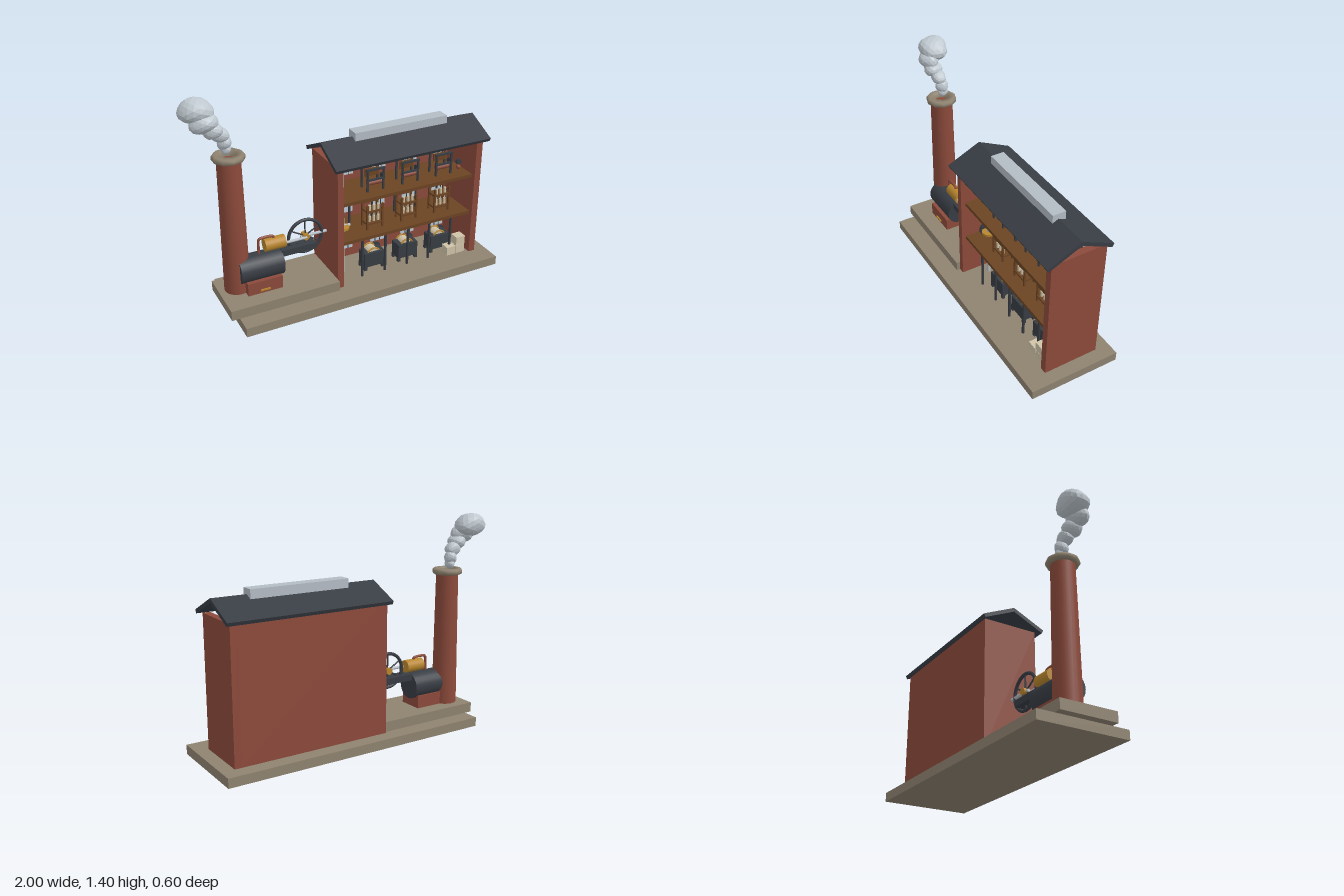
import * as THREE from 'three';

const mat = (name, color) => {
  const m = new THREE.MeshStandardMaterial({ color });
  m.name = name;
  return m;
};

export function createModel() {
  const brick = mat('brick', 0x8c4a3b), stone = mat('stone', 0x8f8370), iron = mat('iron', 0x383d44),
    steel = mat('steel', 0xb4bcc4), brass = mat('brass', 0xb8862e), wood = mat('wood', 0x6b4423),
    cream = mat('cream', 0xd0c4a8), glass = mat('glass', 0xbcc8d2), smokeGrey = mat('smoke', 0xc0c9d0);
  const model = new THREE.Group();
  model.name = 'steamMill';

  const group = (name, parent = model) => {
    const g = new THREE.Group();
    g.name = name;
    parent.add(g);
    return g;
  };
  const add = (name, geo, m, x = 0, y = 0, z = 0, parent = model) => {
    const mesh = new THREE.Mesh(geo, m);
    mesh.name = name;
    mesh.position.set(x, y, z);
    parent.add(mesh);
    return mesh;
  };
  // box given by its limits
  const box = (name, m, x0, x1, y0, y1, z0, z1, parent) =>
    add(name, new THREE.BoxGeometry(x1 - x0, y1 - y0, z1 - z0), m, (x0 + x1) / 2, (y0 + y1) / 2, (z0 + z1) / 2, parent);
  // cylinder along a chosen axis
  const rod = (name, m, axis, r, len, x, y, z, parent, sides = 12) => {
    const g = new THREE.CylinderGeometry(r, r, len, sides);
    if (axis === 'x') g.rotateZ(Math.PI / 2);
    if (axis === 'z') g.rotateX(Math.PI / 2);
    return add(name, g, m, x, y, z, parent);
  };

  // ground slabs
  box('base', stone, -0.81, 1, 0, 0.06, -0.3, 0.3);
  box('enginePlinth', stone, -0.86, -0.135, 0.06, 0.125, -0.19, 0.185);

  // building shell, open at the front
  const mill = group('millBuilding');
  box('leftWall', brick, -0.135, -0.095, 0.06, 0.9, -0.205, 0.16, mill);
  box('rightWall', brick, 0.87, 0.915, 0.06, 0.9, -0.205, 0.16, mill);
  box('backWall', brick, -0.095, 0.87, 0.06, 0.9, -0.205, -0.17, mill);
  for (const y of [0.345, 0.62]) box('floor', wood, -0.095, 0.87, y, y + 0.022, -0.17, 0.13, mill);

  // pitched roof with open gables
  const profile = new THREE.Shape([
    [0.195, 0.892], [0.206, 0.914], [-0.012, 1.015], [-0.23, 0.914], [-0.219, 0.892], [-0.012, 0.988],
  ].map(([z, y]) => new THREE.Vector2(z, y)));
  const roof = new THREE.ExtrudeGeometry(profile, { depth: 1.105, bevelEnabled: false });
  roof.rotateY(-Math.PI / 2);
  add('roof', roof, iron, 0.94, 0, 0, mill);
  box('skylight', steel, 0.052, 0.715, 0.985, 1.05, -0.06, 0.027, mill);

  // arched windows on the inner back wall
  const pane = new THREE.Shape();
  pane.moveTo(-0.052, 0);
  pane.lineTo(0.052, 0);
  pane.lineTo(0.052, 0.17);
  pane.quadraticCurveTo(0.04, 0.208, 0, 0.21);
  pane.quadraticCurveTo(-0.04, 0.208, -0.052, 0.17);
  const paneGeo = new THREE.ExtrudeGeometry(pane, { depth: 0.008, bevelEnabled: false, curveSegments: 6 });
  for (const y of [0.125, 0.405, 0.682]) for (const x of [0.08, 0.325, 0.565, 0.805]) {
    const w = group('window', mill);
    add('pane', paneGeo, glass, x, y, -0.17, w);
    for (const dx of [-0.018, 0.018]) box('mullion', iron, x + dx - 0.002, x + dx + 0.002, y, y + 0.2, -0.162, -0.158, w);
    for (const dy of [0.05, 0.1, 0.15]) box('glazingBar', iron, x - 0.052, x + 0.052, y + dy - 0.002, y + dy + 0.002, -0.162, -0.158, w);
  }

  // iron columns on the two lower storeys
  for (const x of [0.07, 0.24, 0.41, 0.575, 0.745]) {
    rod('column', iron, 'y', 0.009, 0.285, x, 0.2025, 0.1, mill);
    rod('upperColumn', iron, 'y', 0.007, 0.253, x, 0.4935, -0.09, mill);
  }

  // line shafting
  const drive = group('lineShafting');
  rod('uprightShaft', steel, 'y', 0.012, 0.81, -0.025, 0.465, 0, drive);
  for (const y of [0.325, 0.6, 0.865]) {
    rod('lineShaft', steel, 'x', 0.006, 0.9, 0.38, y, -0.08, drive);
    rod('crossShaft', steel, 'z', 0.006, 0.09, -0.025, y, -0.04, drive);
    rod('shaftDisc', iron, 'x', 0.038, 0.012, 0.005, y, -0.08, drive, 16);
    rod('bevelGear', brass, 'y', 0.022, 0.012, -0.025, y - 0.02, 0, drive);
    for (const x of [0.185, 0.44, 0.695]) rod('pulley', iron, 'z', 0.029, 0.03, x, y, -0.06, drive, 16);
  }
  rod('driveShaft', steel, 'x', 0.01, 0.35, -0.14, 0.4, -0.012, drive);
  rod('driveWheel', iron, 'x', 0.055, 0.014, -0.065, 0.4, -0.012, drive, 20);
  rod('driveGear', brass, 'y', 0.045, 0.015, -0.025, 0.4, 0, drive, 16);

  for (const x of [0.185, 0.44, 0.695]) {
    // carding machine, ground storey
    const card = group('cardingMachine');
    box('casing', iron, x - 0.073, x + 0.073, 0.085, 0.185, -0.03, 0.06, card);
    for (const dx of [-0.065, 0.065]) for (const z of [-0.02, 0.05])
      box('foot', iron, x + dx - 0.01, x + dx + 0.01, 0.06, 0.09, z - 0.01, z + 0.01, card);
    rod('drum', cream, 'z', 0.042, 0.07, x, 0.165, 0.005, card, 20);
    for (const z of [-0.03, 0.042]) add('drumRim', new THREE.TorusGeometry(0.045, 0.006, 6, 24), brass, x, 0.165, z, card);
    rod('sideWheel', iron, 'z', 0.03, 0.012, x + 0.062, 0.168, -0.04, card, 16);

    // spinning frame, middle storey
    const spin = group('spinningFrame');
    for (const dx of [-0.055, 0.055]) for (const z of [-0.02, 0.05])
      box('post', wood, x + dx - 0.006, x + dx + 0.006, 0.367, 0.54, z - 0.006, z + 0.006, spin);
    for (const y of [0.4, 0.485]) box('shelf', wood, x - 0.06, x + 0.06, y, y + 0.012, -0.025, 0.055, spin);
    box('topRail', wood, x - 0.06, x + 0.06, 0.53, 0.54, -0.025, -0.01, spin);
    for (const dx of [-0.032, 0, 0.032]) {
      rod('spindle', steel, 'y', 0.004, 0.12, x + dx, 0.465, 0.035, spin, 8);
      for (const y of [0.435, 0.515]) rod('bobbin', cream, 'y', 0.009, 0.04, x + dx, y, 0.035, spin, 10);
    }

    // loom, top storey
    const loom = group('loom');
    for (const dx of [-0.057, 0.057]) for (const z of [-0.03, 0.05])
      box('leg', iron, x + dx - 0.006, x + dx + 0.006, 0.642, 0.79, z - 0.006, z + 0.006, loom);
    for (const z of [-0.03, 0.05]) box('crossBar', iron, x - 0.066, x + 0.066, 0.785, 0.797, z - 0.007, z + 0.007, loom);
    box('lowBar', iron, x - 0.057, x + 0.057, 0.715, 0.726, 0.043, 0.056, loom);
    box('reed', wood, x - 0.05, x + 0.05, 0.728, 0.78, -0.005, 0.005, loom);
    rod('clothRoll', brick, 'x', 0.018, 0.1, x, 0.695, 0.03, loom);
    rod('handWheel', iron, 'x', 0.025, 0.008, x + 0.07, 0.71, 0.01, loom, 16);
  }
  rod('spareWheel', iron, 'z', 0.019, 0.02, 0.812, 0.712, 0.05);
  add('yarnBall', new THREE.SphereGeometry(0.016, 12, 8), brick, 0.812, 0.675, 0.05);

  // cotton bales
  for (const [x, y] of [[0.738, 0.06], [0.81, 0.06], [0.81, 0.122]])
    box('bale', cream, x - 0.034, x + 0.034, y, y + 0.06, 0.075, 0.14);

  // boiler on its brick firebox
  const boiler = group('boiler');
  box('firebox', brick, -0.71, -0.48, 0.125, 0.21, -0.09, 0.078, boiler);
  box('fireDoorHandle', brass, -0.63, -0.565, 0.142, 0.152, 0.078, 0.086, boiler);
  rod('shell', iron, 'x', 0.088, 0.284, -0.598, 0.27, -0.015, boiler, 24);
  const pipePath = new THREE.CatmullRomCurve3([[-0.597, 0.34], [-0.597, 0.43], [-0.592, 0.455], [-0.57, 0.46],
    [-0.52, 0.46], [-0.5, 0.455], [-0.495, 0.43]].map(([x, y]) => new THREE.Vector3(x, y, -0.01)));
  add('steamPipe', new THREE.TubeGeometry(pipePath, 30, 0.009, 8), brick, 0, 0, 0, boiler);

  // steam engine and flywheel
  const engine = group('steamEngine');
  box('bed', iron, -0.46, -0.225, 0.315, 0.357, -0.05, 0.032, engine);
  rod('cylinder', brass, 'x', 0.042, 0.135, -0.493, 0.405, -0.01, engine, 20);
  rod('pistonRod', steel, 'x', 0.009, 0.15, -0.355, 0.4, 0.012, engine);
  const wheel = group('flywheel', engine);
  wheel.position.set(-0.282, 0.4, -0.012);
  add('rim', new THREE.TorusGeometry(0.114, 0.011, 8, 36), iron, 0, 0, 0, wheel);
  rod('hub', brass, 'z', 0.022, 0.05, 0, 0, 0, wheel, 16);
  for (let i = 0; i < 3; i++) rod('spoke', iron, 'y', 0.005, 0.226, 0, 0, 0, wheel, 8).rotation.z = i * Math.PI / 3;

  // chimney with a stone collar
  add('chimneyStack', new THREE.CylinderGeometry(0.073, 0.083, 0.885, 24), brick, -0.737, 0.5675, -0.047);
  const collar = new THREE.LatheGeometry([[0.05, 1.005], [0.085, 1.005], [0.1, 1.015], [0.1, 1.035], [0.088, 1.046],
    [0.05, 1.046], [0.05, 1.005]].map(([r, y]) => new THREE.Vector2(r, y)), 10);
  add('chimneyCollar', collar, stone, -0.737, 0, -0.047);

  // lumpy smoke puffs: position, then half sizes
  const smoke = group('smoke');
  [[-0.745, 1.075, -0.062, 0.03, 0.035, 0.035], [-0.75, 1.115, -0.06, 0.042, 0.045, 0.045],
    [-0.775, 1.17, -0.05, 0.055, 0.045, 0.045], [-0.825, 1.215, -0.035, 0.06, 0.05, 0.06],
    [-0.87, 1.265, -0.028, 0.085, 0.06, 0.065], [-0.895, 1.325, -0.075, 0.105, 0.075, 0.09],
  ].forEach(([x, y, z, a, b, c], k) => {
    const g = new THREE.IcosahedronGeometry(1, 2), p = g.attributes.position;
    for (let i = 0; i < p.count; i++) {
      const u = p.getX(i), v = p.getY(i), w = p.getZ(i);
      const s = 1 + 0.07 * Math.sin(3 * u + k) * Math.cos(3 * v - k) + 0.05 * Math.sin(4 * w + 2 * k);
      p.setXYZ(i, u * a * s, v * b * s, w * c * s);
    }
    g.computeVertexNormals();
    add('puff', g, smokeGrey, x, y, z, smoke);
  });

  return model;
}
